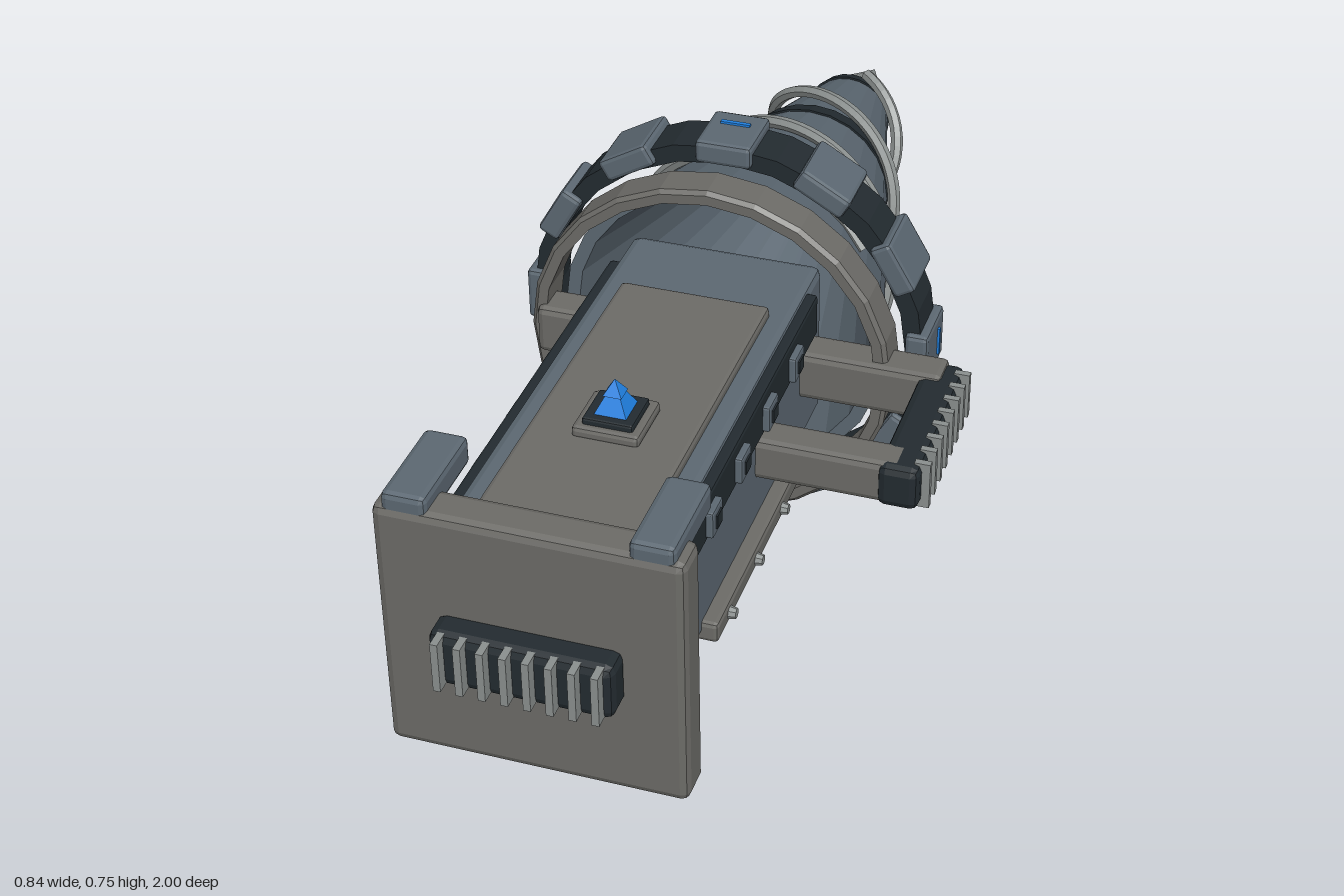
import * as THREE from 'three';
import { RoundedBoxGeometry } from 'three/addons/geometries/RoundedBoxGeometry.js';

const mat = (color) => new THREE.MeshStandardMaterial({ color, flatShading: true, side: THREE.DoubleSide });

export function createModel() {
  const slate = mat(0x5c6872), dark = mat(0x232b30), grey = mat(0x6c6b67);
  const steel = mat(0x8b908f), blue = mat(0x2080e0), orange = mat(0xc05a30);
  const root = new THREE.Group();
  const model = new THREE.Group();
  model.name = 'drillTool';
  model.position.set(-0.045, 0.38, 0); // drill axis; all parts below are relative to it
  root.add(model);

  const add = (name, geometry, material, parent = model) => {
    const m = new THREE.Mesh(geometry, material);
    m.name = name;
    parent.add(m);
    return m;
  };
  // box given by its limits, with chamfered edges
  const box = (name, [x0, x1], [y0, y1], [z0, z1], material, bevel = 0.008, parent = model) => {
    const w = x1 - x0, h = y1 - y0, d = z1 - z0;
    const g = bevel ? new RoundedBoxGeometry(w, h, d, 1, Math.min(bevel, w / 3, h / 3, d / 3))
      : new THREE.BoxGeometry(w, h, d);
    const m = add(name, g, material, parent);
    m.position.set((x0 + x1) / 2, (y0 + y1) / 2, (z0 + z1) / 2);
    return m;
  };
  // lathe around the drill axis; profile points are [radius, z], running towards -z on the outside
  const turned = (name, profile, material, sides = 24) => {
    const g = new THREE.LatheGeometry(profile.map(([r, z]) => new THREE.Vector2(r, -z)), sides);
    return add(name, g.rotateX(-Math.PI / 2), material);
  };

  // Drill cone: hollow shell, dark bands and steel tip
  const coneR = (z) => 0.292 + 0.264 * z;
  turned('drillCone', [[0.27, 0.01], [0.294, 0.01], [0.292, 0], [coneR(-0.82), -0.82],
    [0.05, -0.82], [0.262, -0.02], [0.27, 0.01]], slate);
  for (const [z0, z1] of [[-0.265, -0.3], [-0.52, -0.56], [-0.8, -0.825]]) {
    const a = coneR(z0), b = coneR(z1);
    turned('coneBand', [[a - 0.01, z0], [a + 0.004, z0], [b + 0.004, z1], [b - 0.01, z1]], dark);
  }
  turned('drillTip', [[0, -0.82], [0.074, -0.825], [0, -1]], steel);

  // Two interleaved helical flutes, each half a turn apart
  for (const phase of [0, Math.PI]) {
    const pts = [];
    for (let i = 0; i <= 60; i++) {
      const t = i / 60, z = -0.08 - 0.72 * t;
      const a = Math.PI / 2 + phase + (-0.15 - z) / 0.45 * Math.PI * 2;
      const r = coneR(z) + 0.006 + 0.016 * t;
      pts.push(new THREE.Vector3(r * Math.cos(a), r * Math.sin(a), z));
    }
    const flute = add('spiralFlute', new THREE.TubeGeometry(new THREE.CatmullRomCurve3(pts), 110, 0.012, 6), steel);
    flute.material = steel;
  }

  // Toothed collar with twelve pads
  turned('toothedRing', [[0.328, -0.005], [0.36, -0.005], [0.36, -0.095], [0.328, -0.095], [0.328, -0.005]], dark);
  for (let i = 0; i < 12; i++) {
    const pad = new THREE.Group();
    pad.name = 'collarPad';
    pad.rotation.z = i * Math.PI / 6;
    model.add(pad);
    box('padBlock', [-0.05, 0.05], [0.328, 0.37], [-0.11, 0.008], slate, 0.008, pad);
    if (i % 3 === 0) box('padLight', [-0.026, 0.026], [0.36, 0.374], [-0.072, -0.064], blue, 0, pad);
  }

  // Rear grey ring
  turned('rearRing', [[0.302, 0.095], [0.32, 0.095], [0.327, 0.088], [0.327, 0.026],
    [0.32, 0.018], [0.302, 0.018], [0.302, 0.095]], grey);

  // Motor housing
  box('housing', [-0.172, 0.172], [-0.148, 0.148], [-0.02, 0.87], slate, 0.015);
  box('topPlate', [-0.132, 0.132], [0.14, 0.165], [0.155, 0.805], grey, 0.01);
  box('bottomPanel', [-0.135, 0.135], [-0.16, -0.14], [0.1, 0.83], dark, 0.005);

  // Side panels with buttons, lower rails with rivets
  for (const s of [-1, 1]) {
    const span = (a, b) => (s > 0 ? [a, b] : [-b, -a]);
    box('sidePanel', span(0.16, 0.188), [0.06, 0.14], [0.06, 0.855], dark, 0.006);
    for (let i = 0; i < 5; i++) {
      const z = 0.79 - i * 0.146;
      box('buttonFrame', span(0.18, 0.2), [0.07, 0.118], [z - 0.025, z + 0.025], slate, 0.004);
      box('button', span(0.195, 0.203), [0.082, 0.106], [z - 0.012, z + 0.012], i ? dark : orange, 0);
    }
    box('lowerRail', span(0.16, 0.2), [-0.155, -0.117], [0.12, 0.65], grey, 0.008);
    for (let i = 0; i < 4; i++) {
      const rivet = add('rivet', new THREE.CylinderGeometry(0.009, 0.012, 0.014, 8), steel);
      rivet.rotation.z = -s * Math.PI / 2;
      rivet.position.set(s * 0.205, -0.136, 0.59 - i * 0.143);
    }
  }

  // Beacon on the top plate
  box('beaconBase', [-0.056, 0.056], [0.16, 0.182], [0.492, 0.602], grey, 0.008);
  box('beaconSocket', [-0.042, 0.042], [0.178, 0.193], [0.505, 0.589], dark, 0.004);
  const pyramid = (name, r, h, y, material) => {
    const p = add(name, new THREE.ConeGeometry(r, h, 4).rotateY(Math.PI / 4), material);
    p.position.set(0, y + h / 2, 0.547);
  };
  pyramid('beaconLight', 0.04, 0.056, 0.19, blue);
  pyramid('beaconCap', 0.022, 0.026, 0.222, blue);

  // End plate with corner pads and ribbed vent
  box('endPlate', [-0.245, 0.245], [-0.23, 0.226], [0.86, 0.932], grey, 0.014);
  for (const s of [-1, 1]) {
    const x = s * 0.193;
    box('cornerPad', [x - 0.036, x + 0.036], [0.2, 0.25], [0.755, 0.928], slate, 0.01);
  }
  box('vent', [-0.147, 0.147], [-0.052, 0.046], [0.92, 0.98], dark, 0.015);
  for (let i = 0; i < 8; i++) {
    const x = -0.126 + i * 0.036;
    box('ventRib', [x - 0.006, x + 0.006], [-0.046, 0.044], [0.97, 1], steel, 0);
  }

  // Cross bar through the ring and side handle
  box('crossBar', [-0.312, 0.42], [-0.046, 0.046], [0.04, 0.112], grey, 0.012);
  box('handleArm', [0.16, 0.42], [-0.038, 0.04], [0.298, 0.366], grey, 0.012);
  box('handleGrip', [0.378, 0.448], [-0.04, 0.04], [0.047, 0.372], dark, 0.014);
  for (let i = 0; i < 8; i++) {
    const z = 0.075 + i * 0.038;
    box('gripRib', [0.435, 0.462], [-0.044, 0.042], [z - 0.006, z + 0.006], steel, 0);
  }
  return root;
}
